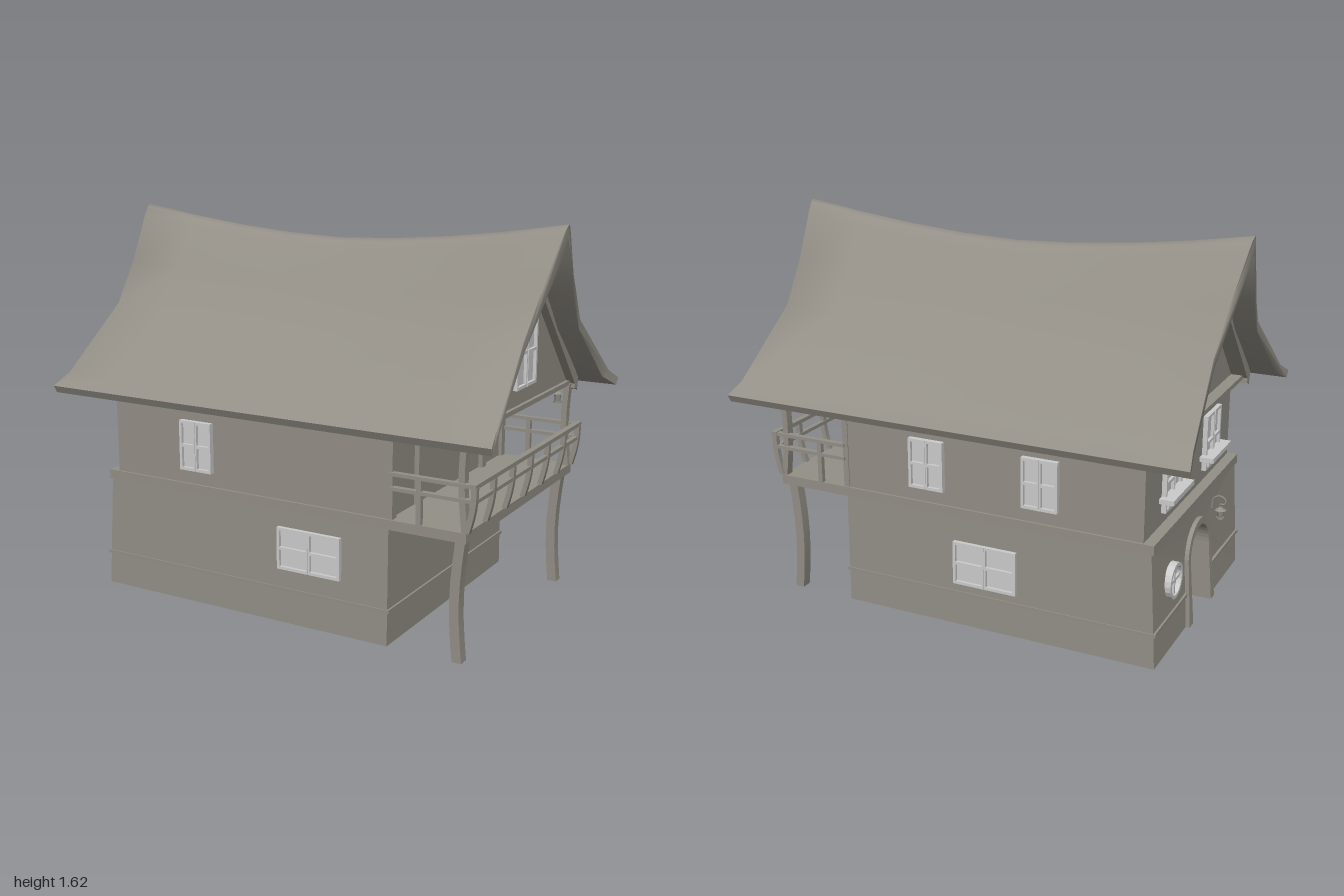
import * as THREE from 'three';
import { toCreasedNormals } from 'three/addons/utils/BufferGeometryUtils.js';

const house = new THREE.MeshStandardMaterial({ color: 0x938f86 });
const pale = new THREE.MeshStandardMaterial({ color: 0xcccccc });

// Moves every vertex by a rule and refreshes the normals
function warp(geo, rule) {
  const p = geo.attributes.position;
  const v = new THREE.Vector3();
  for (let i = 0; i < p.count; i++) {
    rule(v.fromBufferAttribute(p, i));
    p.setXYZ(i, v.x, v.y, v.z);
  }
  geo.computeVertexNormals();
  return geo;
}

const shapeOf = (pts) => new THREE.Shape(pts.map(([x, y]) => new THREE.Vector2(x, y)));
const extrude = (shape, depth, steps = 1) =>
  new THREE.ExtrudeGeometry(shape, { depth, steps, bevelEnabled: false, curveSegments: 10 });

export function createModel() {
  const model = new THREE.Group();

  function add(name, geo, mat = house, parent = model) {
    const m = new THREE.Mesh(geo, mat);
    m.name = name;
    parent.add(m);
    return m;
  }
  // Box given by its min and max on each axis
  function box(name, x0, x1, y0, y1, z0, z1, parent = model, mat = house) {
    const g = new THREE.BoxGeometry(x1 - x0, y1 - y0, z1 - z0);
    g.translate((x0 + x1) / 2, (y0 + y1) / 2, (z0 + z1) / 2);
    return add(name, g, mat, parent);
  }
  // Upright timber whose x runs from xa to xb with a sideways bow
  function post(name, xa, xb, y0, y1, z, w, d, bow) {
    const g = new THREE.BoxGeometry(w, y1 - y0, d, 1, 6, 1).translate(0, (y0 + y1) / 2, z);
    return add(name, warp(g, (v) => {
      const t = (v.y - y0) / (y1 - y0);
      v.x += xa + (xb - xa) * t + bow * Math.sin(Math.PI * t);
    }));
  }

  // Ground floor: main block plus a left wall slab with an arched doorway
  const lean = (v) => {
    const t = v.y / 0.49;
    if (v.x < -0.8) v.x += 0.03 * Math.sin((t * Math.PI) / 2);
    v.z *= 1 - 0.012 * t;
  };
  const block = new THREE.BoxGeometry(1.255, 0.475, 1.09).translate(-0.1025, 0.2525, 0);
  add('groundFloor', warp(block, lean));
  const wall = shapeOf([[-0.545, 0.015], [-0.12, 0.015], [-0.12, 0.28]]);
  wall.absarc(0, 0.28, 0.12, Math.PI, 0, true);
  [[0.12, 0.015], [0.545, 0.015], [0.545, 0.49], [-0.545, 0.49]].forEach(([x, y]) => wall.lineTo(x, y));
  const slab = extrude(wall, 0.12).rotateY(-Math.PI / 2).translate(-0.73, 0, 0);
  add('doorWall', warp(slab, lean));

  // Door frame and door
  const arch = shapeOf([[-0.165, 0.015], [-0.12, 0.015], [-0.12, 0.28]]);
  arch.absarc(0, 0.28, 0.12, Math.PI, 0, true);
  arch.lineTo(0.12, 0.015);
  arch.lineTo(0.165, 0.015);
  arch.lineTo(0.15, 0.28);
  arch.absarc(0, 0.28, 0.15, 0, Math.PI, false);
  add('doorFrame', warp(extrude(arch, 0.05).rotateY(-Math.PI / 2).translate(-0.818, 0, 0), lean));
  for (let i = 0; i < 4; i++)
    box('doorPlank', -0.745, -0.725, 0.015, i % 3 ? 0.39 : 0.33, -0.118 + i * 0.06, -0.062 + i * 0.06);
  add('doorHandle', new THREE.SphereGeometry(0.012, 8, 6).translate(-0.752, 0.2, 0.08));

  // Plinth band, broken at the doorway
  for (const s of [-1, 1]) {
    box('plinthBand', -0.85, 0.533, 0.15, 0.165, s * 0.5425 - 0.005, s * 0.5425 + 0.005);
    box('plinthBand', -0.848, -0.83, 0.15, 0.165, s < 0 ? -0.545 : 0.16, s < 0 ? -0.16 : 0.545);
  }
  box('plinthBand', 0.52, 0.533, 0.15, 0.165, -0.545, 0.545);

  // Floor deck, upper storey and attic
  box('floorDeck', -0.83, 0.85, 0.49, 0.53, -0.543, 0.543);
  box('upperStorey', -0.785, 0.525, 0.53, 0.9, -0.533, 0.533);
  const attic = shapeOf([[-0.53, 0.885], [0.53, 0.885], [0.53, 0.905], [0, 1.46], [-0.53, 0.905]]);
  add('attic', extrude(attic, 1.61).rotateY(Math.PI / 2).translate(-0.785, 0, 0));

  // Gable ties, rafters and wall plates
  for (const s of [-1, 1]) {
    box('wallPlate', -0.86, 0.86, 0.87, 0.905, s * 0.54 - 0.015, s * 0.54 + 0.015);
    box('gableTie', s * 0.815 - 0.025, s * 0.815 + 0.025, 0.885, 0.905, -0.53, 0.53);
    for (const e of [-1, 1]) {
      const rafter = shapeOf([[0, 1.51], [0, 1.445], [e * 0.555, 0.86], [e * 0.565, 0.91]]);
      add('rafter', extrude(rafter, 0.07).rotateY(Math.PI / 2).translate(s * 0.825 - 0.035, 0, 0));
    }
  }

  // Sagging roof with flared eaves and swept ends
  const outer = [[0.68, 0.905], [0.6, 0.95], [0.3, 1.21], [0.17, 1.385], [0.05, 1.57], [0.02, 1.605]];
  const inner = [[0.665, 0.875], [0.55, 0.93], [0.29, 1.17], [0.15, 1.34]];
  const flip = (pts) => pts.map(([z, y]) => [-z, y]);
  const section = shapeOf([
    ...outer, [0, 1.62], ...flip(outer).reverse(), ...flip(inner), [0, 1.55], ...[...inner].reverse(),
  ]);
  const roof = warp(extrude(section, 2, 8).rotateY(Math.PI / 2).translate(-1, 0, 0), (v) => {
    const sag = 0.1 * (1 - Math.pow(Math.min(1, Math.abs(v.x)), 1.7));
    v.y -= sag * Math.max(0, (v.y - 0.905) / 0.715);
    v.x *= 1 - 0.05 * Math.sin((Math.PI * Math.min(0.68, Math.abs(v.z))) / 0.68);
  });
  add('roof', toCreasedNormals(roof, 1.4));

  // Balcony posts, wall studs and railing
  const railX = 0.878;
  for (const s of [-1, 1]) {
    post('lowerPost', 0.81, 0.815, 0, 0.49, s * 0.495, 0.04, 0.045, -0.018);
    post('upperPost', 0.84, 0.832, 0.53, 0.89, s * 0.52, 0.025, 0.035, -0.012);
    box('wallStud', 0.52, 0.545, 0.53, 0.89, s * 0.305 - 0.02, s * 0.305 + 0.02);
    box('cornerStud', 0.515, 0.54, 0.53, 0.89, s * 0.52 - 0.017, s * 0.52 + 0.017);
    for (const y of [0.712, 0.655])
      box('sideRail', 0.53, railX, y - 0.007, y + 0.007, s * 0.535 - 0.012, s * 0.535 + 0.012);
    post('sidePicket', 0.653, 0.653, 0.53, 0.71, s * 0.535, 0.02, 0.02, 0);
    post('railCorner', 0.85, railX, 0.53, 0.71, s * 0.535, 0.022, 0.022, 0.008);
  }
  box('topRail', railX - 0.015, railX + 0.01, 0.705, 0.722, -0.55, 0.55);
  box('midRail', railX - 0.015, railX + 0.005, 0.645, 0.66, -0.545, 0.545);
  for (let i = -2; i <= 2; i++)
    post('railPicket', 0.85, railX, 0.53, 0.71, i * 0.183, 0.02, 0.022, 0.008);

  // Windows face +z locally and are then turned onto their wall
  function place(name, x, y, z, turn) {
    const g = new THREE.Group();
    g.name = name;
    g.position.set(x, y, z);
    g.rotation.y = turn;
    model.add(g);
    return g;
  }
  function casement(name, x, y, z, turn, w, h, peak = 0) {
    const g = place(name, x, y, z, turn);
    const top = (px) => h / 2 + peak * (1 - (2 * Math.abs(px)) / w);
    const frame = shapeOf([[-w / 2, -h / 2], [w / 2, -h / 2], [w / 2, top(w / 2)], [0, top(0)], [-w / 2, top(w / 2)]]);
    const b = 0.012;
    for (const s of [-1, 1]) {
      const a = s * b * 0.7, c = s * (w / 2 - b);
      frame.holes.push(shapeOf([[a, b - h / 2], [c, b - h / 2], [c, -b / 2], [a, -b / 2]]));
      frame.holes.push(shapeOf([[a, b / 2], [c, b / 2], [c, top(c) - b], [a, top(a) - b]]));
    }
    add('windowFrame', extrude(frame, 0.025), pale, g);
    box('windowPane', -w / 2 + 0.005, w / 2 - 0.005, -h / 2 + 0.005, h / 2 - 0.005, -0.01, 0.012, g, pale);
    if (peak) {
      const head = shapeOf([[-w / 2 + 0.005, h / 2 - 0.01], [w / 2 - 0.005, h / 2 - 0.01], [0, top(0) - 0.005]]);
      add('windowHead', extrude(head, 0.012), pale, g);
    }
    box('meetingStile', -0.0015, 0.0015, -h / 2, top(0), 0.02, 0.028, g, pale);
    return g;
  }
  function roundWindow(name, x, y, z, turn, r) {
    const g = place(name, x, y, z, turn);
    const ring = new THREE.Shape().absarc(0, 0, r, 0, Math.PI * 2);
    ring.holes.push(new THREE.Path().absarc(0, 0, r * 0.8, 0, Math.PI * 2));
    add('roundFrame', extrude(ring, 0.03), pale, g);
    add('roundPane', new THREE.CylinderGeometry(r * 0.9, r * 0.9, 0.02, 20).rotateX(Math.PI / 2), pale, g);
    box('glazingBar', -0.006, 0.006, -r * 0.85, r * 0.85, 0, 0.022, g, pale);
    box('glazingBar', -r * 0.85, r * 0.85, -0.006, 0.006, 0, 0.022, g, pale);
  }

  casement('frontUpperWindow', -0.365, 0.695, 0.53, 0, 0.155, 0.21);
  casement('frontLowerWindow', 0.175, 0.333, 0.532, 0, 0.29, 0.175);
  for (const x of [0.14, -0.36]) casement('backUpperWindow', x, 0.695, -0.53, Math.PI, 0.155, 0.21);
  casement('backLowerWindow', -0.12, 0.295, -0.532, Math.PI, 0.28, 0.185);
  casement('gableWindow', 0.826, 1.118, 0, Math.PI / 2, 0.2, 0.28, 0.045);
  roundWindow('gableRoundWindow', -0.785, 1.17, 0, -Math.PI / 2, 0.095);
  roundWindow('roundWindow', -0.826, 0.3, -0.33, -Math.PI / 2, 0.075);
  for (const z of [-0.25, 0.25]) {
    const g = casement('leftUpperWindow', -0.78, 0.7, z, -Math.PI / 2, 0.19, 0.24);
    box('windowSill', -0.125, 0.125, -0.07, -0.05, 0, 0.065, g, pale);
    for (const s of [-1, 1]) box('sillBracket', s * 0.08 - 0.008, s * 0.08 + 0.008, -0.1, -0.07, 0, 0.035, g, pale);
  }

  // Lanterns hang from local origin
  function lantern(name, x, y, z) {
    const g = place(name, x, y, z, 0);
    add('lanternBody', new THREE.CylinderGeometry(0.016, 0.012, 0.034, 6).translate(0, -0.04, 0), house, g);
    add('lanternCap', new THREE.CylinderGeometry(0.004, 0.026, 0.014, 6).translate(0, -0.016, 0), house, g);
    add('lanternBase', new THREE.CylinderGeometry(0.018, 0.018, 0.006, 6).translate(0, -0.058, 0), house, g);
    add('lanternRing', new THREE.TorusGeometry(0.007, 0.0025, 5, 10).translate(0, -0.003, 0), house, g);
    return g;
  }
  const doorLamp = lantern('doorLantern', -0.865, 0.42, 0.2);
  const hook = new THREE.CatmullRomCurve3(
    [[0.04, -0.02], [0.033, 0.025], [0.005, 0.04], [-0.02, 0.025], [-0.016, 0.005], [0, 0.004]]
      .map(([x, y]) => new THREE.Vector3(x, y, 0)));
  add('lanternHook', new THREE.TubeGeometry(hook, 20, 0.004, 6), house, doorLamp);
  const porchLamp = lantern('balconyLantern', 0.805, 0.875, -0.47);
  box('lanternRod', -0.003, 0.003, 0, 0.02, -0.003, 0.003, porchLamp);

  return model;
}
